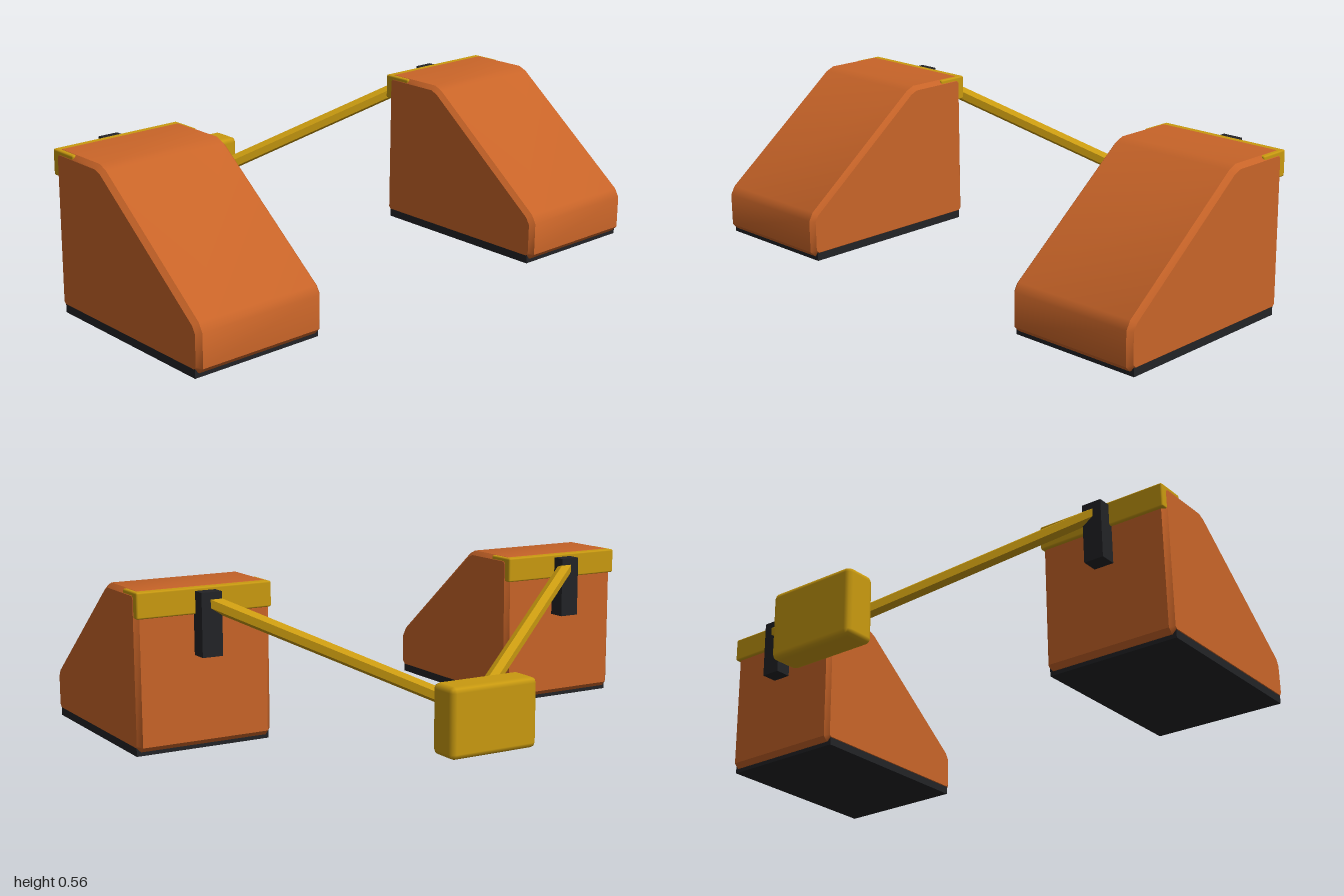
import * as THREE from 'three';
import { RoundedBoxGeometry } from 'three/addons/geometries/RoundedBoxGeometry.js';
import { toCreasedNormals } from 'three/addons/utils/BufferGeometryUtils.js';

const orange = new THREE.MeshStandardMaterial({ color: 0xc86428 });
const yellow = new THREE.MeshStandardMaterial({ color: 0xc99a10 });
const black = new THREE.MeshStandardMaterial({ color: 0x222326 });

function addMesh(parent, name, geometry, material, x = 0, y = 0, z = 0) {
  const mesh = new THREE.Mesh(geometry, material);
  mesh.name = name;
  mesh.position.set(x, y, z);
  parent.add(mesh);
  return mesh;
}

// Wedge with chamfered edges; the profile is (z, y), extruded along x.
function wedgeGeometry(width, bevel) {
  const profile = [
    [-0.035, 0.015], [0.672, 0.015], [0.692, 0.035], [0.692, 0.152], [0.675, 0.182],
    [0.212, 0.548], [0.18, 0.562], [-0.035, 0.562], [-0.052, 0.545], [-0.052, 0.032],
  ].map(([z, y]) => new THREE.Vector2(z, y));
  const geometry = new THREE.ExtrudeGeometry(new THREE.Shape(profile), {
    depth: width - 2 * bevel,
    bevelEnabled: true,
    bevelThickness: bevel,
    bevelSize: bevel,
    bevelOffset: -bevel,
    bevelSegments: 1,
  });
  geometry.translate(0, 0, -(width - 2 * bevel) / 2);
  geometry.rotateY(-Math.PI / 2);
  return toCreasedNormals(geometry, 0.6);
}

// Hexagonal rod whose far end is mitred on the plane x = 0.
function rodGeometry(start, end, radius) {
  const axis = end.clone().sub(start);
  const length = axis.length();
  axis.normalize();
  const geometry = new THREE.CylinderGeometry(radius, radius, length, 6).toNonIndexed();
  const up = new THREE.Vector3(0, 1, 0);
  geometry.applyQuaternion(new THREE.Quaternion().setFromUnitVectors(up, axis));
  const middle = start.clone().add(end).multiplyScalar(0.5);
  geometry.translate(middle.x, middle.y, middle.z);
  const position = geometry.attributes.position;
  const p = new THREE.Vector3();
  for (let i = 0; i < position.count; i++) {
    p.fromBufferAttribute(position, i);
    if (p.distanceTo(end) < radius * 2) {
      p.addScaledVector(axis, -p.x / axis.x);
      position.setXYZ(i, p.x, p.y, p.z);
    }
  }
  geometry.computeVertexNormals();
  return geometry;
}

export function createModel() {
  const model = new THREE.Group();
  model.name = 'wheelChockPair';

  for (const side of [1, -1]) {
    const chock = new THREE.Group();
    chock.name = side > 0 ? 'leftChock' : 'rightChock';
    chock.position.x = side * 0.75;
    model.add(chock);

    addMesh(chock, 'wedgeBody', wedgeGeometry(0.5, 0.016), orange);
    addMesh(chock, 'rubberBase', new THREE.BoxGeometry(0.496, 0.035, 0.7), black, 0, 0.0175, 0.32);
    // Yellow cap, mostly buried, showing along the chamfered edges and back
    addMesh(chock, 'edgeCap', new RoundedBoxGeometry(0.497, 0.09, 0.115, 1, 0.006),
      yellow, 0, 0.516, -0.008);
    addMesh(chock, 'rodBracket', new THREE.BoxGeometry(0.075, 0.22, 0.065), black, 0, 0.44, -0.0825);

    // Connecting rod running down to the centre
    const start = new THREE.Vector3(side * 0.75, 0.515, -0.09);
    const end = new THREE.Vector3(0, 0.147, -0.557);
    addMesh(model, side > 0 ? 'leftRod' : 'rightRod', rodGeometry(start, end, 0.027), yellow);
  }

  // Chamfered block where the rods meet
  addMesh(model, 'handleBlock', new RoundedBoxGeometry(0.346, 0.246, 0.121, 1, 0.02),
    yellow, 0, 0.141, -0.631);

  return model;
}
